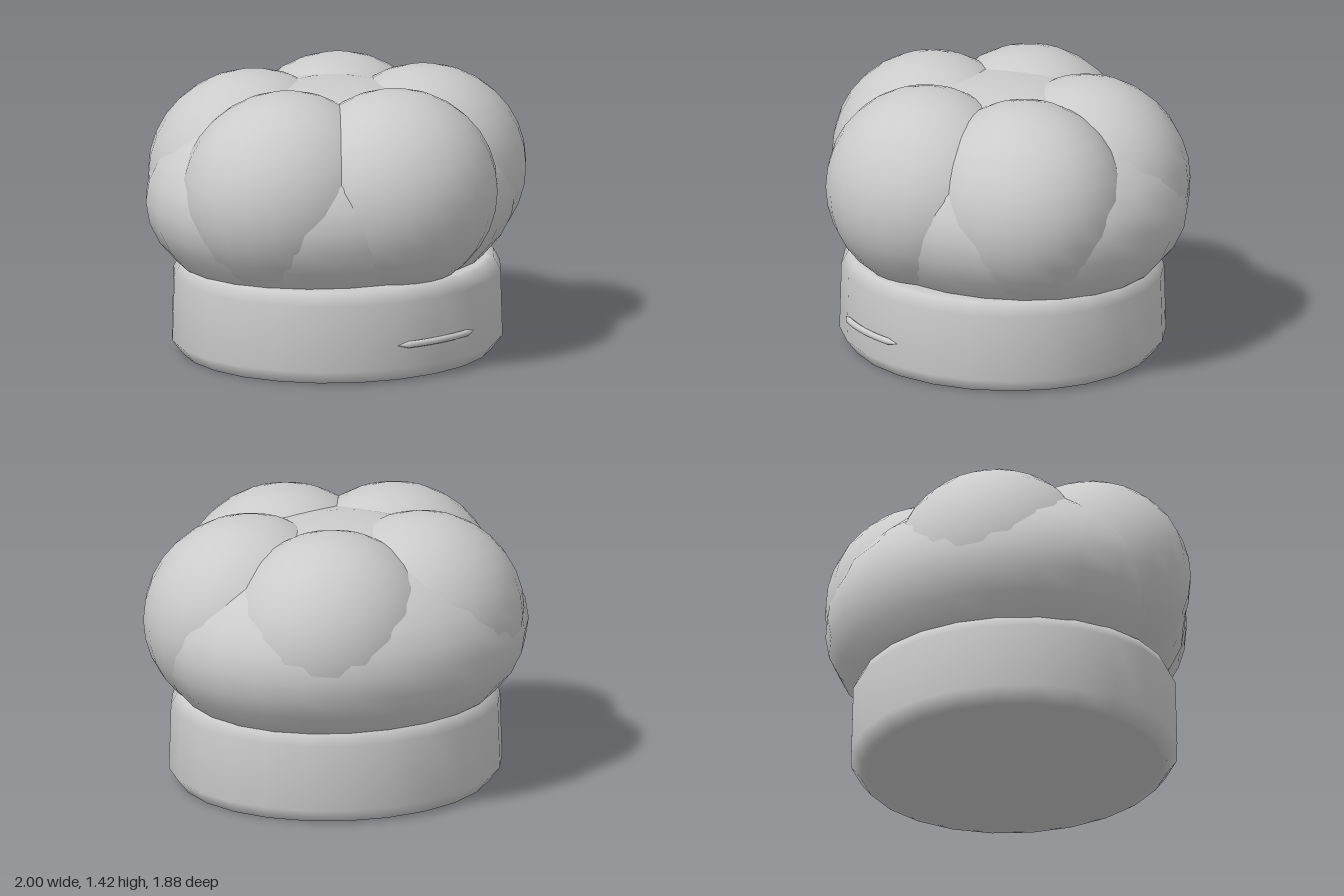
import * as THREE from 'three';

const material = new THREE.MeshStandardMaterial({ color: 0xcccccc });

function addMesh(group, name, geometry) {
  const mesh = new THREE.Mesh(geometry, material);
  mesh.name = name;
  group.add(mesh);
  return mesh;
}

function addEllipsoid(group, name, position, radii) {
  const mesh = addMesh(group, name, new THREE.SphereGeometry(1, 24, 16));
  mesh.position.set(...position);
  mesh.scale.set(...radii);
}

export function createModel() {
  const hat = new THREE.Group();
  hat.name = 'puffyHat';

  // Oval headband with bevelled rims
  const profile = [
    [0, 0], [0.78, 0], [0.81, 0], [0.865, 0.07],
    [0.855, 0.41], [0.82, 0.475], [0.78, 0.48], [0, 0.48],
  ].map(([r, y]) => new THREE.Vector2(r, y));
  const band = addMesh(hat, 'headband', new THREE.LatheGeometry(profile, 24));
  band.scale.z = 0.945;

  // Wide crown body
  addEllipsoid(hat, 'crownBody', [0, 0.8, -0.05], [0.99, 0.58, 0.88]);

  // Ring of five puffs, the first one facing the front
  const names = ['frontPuff', 'leftPuff', 'backLeftPuff', 'backRightPuff', 'rightPuff'];
  names.forEach((name, i) => {
    const a = (i / names.length) * Math.PI * 2;
    addEllipsoid(hat, name,
      [0.473 * Math.sin(a), 0.9, 0.014 + 0.43 * Math.cos(a) - 0.02 * (1 - Math.abs(Math.cos(a))) ],
      [0.55, 0.52, 0.51]);
  });

  // Thin seam hugging the front of the band, with pointed ends
  const points = [];
  for (let i = -4; i <= 4; i++) {
    const a = (i / 4) * 0.3;
    points.push(new THREE.Vector3(0.86 * Math.sin(a), 0.19, 0.815 * Math.cos(a)));
  }
  const seamCurve = new THREE.CatmullRomCurve3(points);
  const seam = new THREE.TubeGeometry(seamCurve, 24, 0.018, 8);
  const pos = seam.attributes.position;
  const v = new THREE.Vector3();
  for (let i = 0; i < pos.count; i++) {
    const t = Math.floor(i / 9) / 24;
    const center = seamCurve.getPointAt(t);
    const taper = Math.min(1, Math.min(t, 1 - t) * 8);
    v.fromBufferAttribute(pos, i).sub(center).multiplyScalar(taper).add(center);
    pos.setXYZ(i, v.x, v.y, v.z);
  }
  seam.computeVertexNormals();
  addMesh(hat, 'bandSeam', seam);

  return hat;
}
